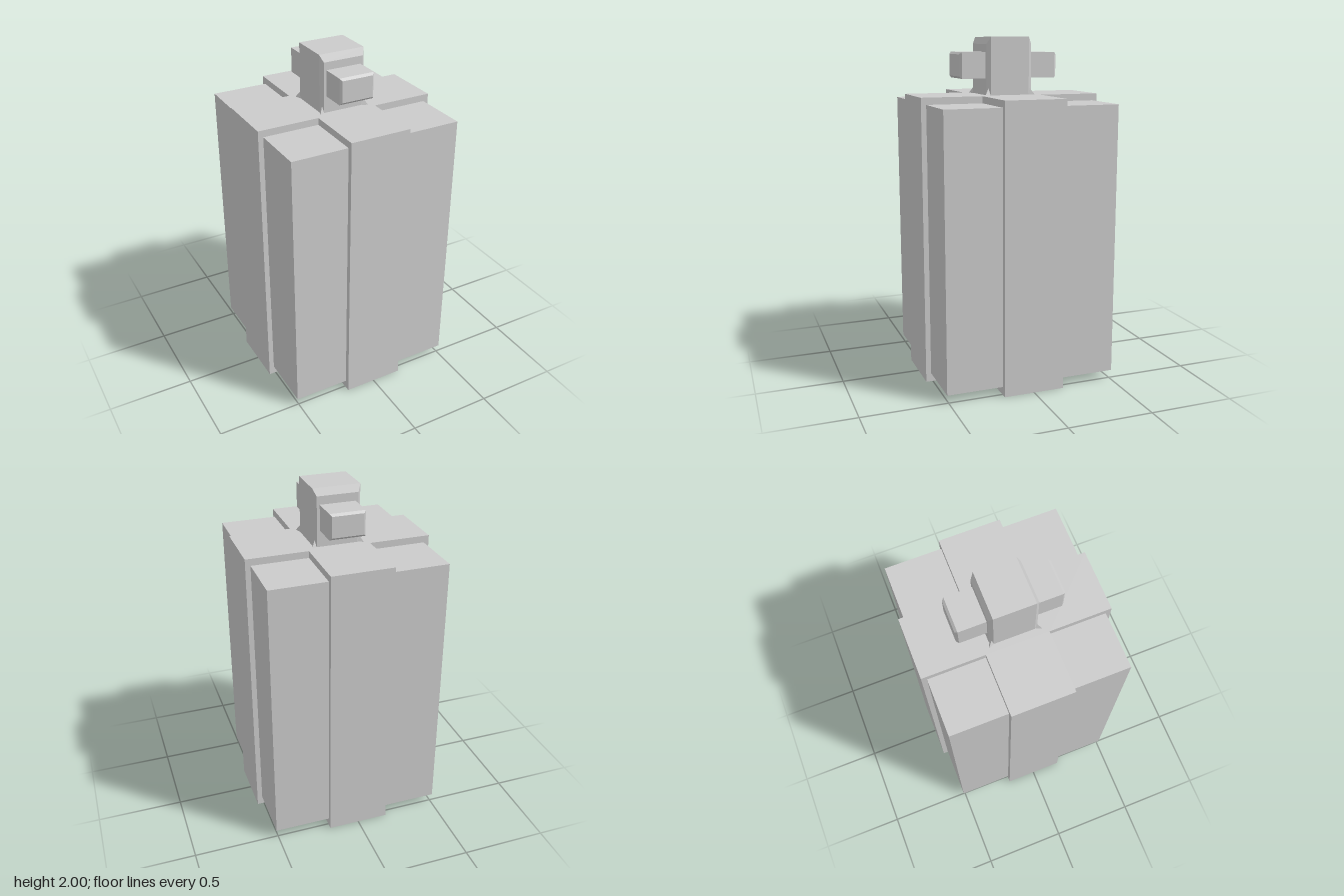
import * as THREE from 'three';
import { ConvexGeometry } from 'three/addons/geometries/ConvexGeometry.js';

const material = new THREE.MeshStandardMaterial({ color: 0xcccccc, flatShading: true });

function add(group, name, geometry, x = 0, y = 0, z = 0) {
  const mesh = new THREE.Mesh(geometry, material);
  mesh.name = name;
  mesh.position.set(x, y, z);
  group.add(mesh);
  return mesh;
}

// Block spanning y0..y1 and z0..z1 whose chosen z ends are bevelled inwards
function bevelledBlock(halfWidth, y0, y1, z0, z1, bevel, { front = true, back = true, insetX, top, bottom }) {
  const geometry = new THREE.BoxGeometry(2, 1, 3, 1, 1, 3);
  const p = geometry.attributes.position;
  const levels = [z0, back ? z0 + bevel : z0 + 0.02, front ? z1 - bevel : z1 - 0.02, z1];
  for (let i = 0; i < p.count; i++) {
    const k = Math.round(p.getZ(i) + 1.5);
    const inset = (k === 0 && back) || (k === 3 && front) ? 1 : 0;
    const x = Math.sign(p.getX(i)) * (halfWidth - inset * insetX);
    const y = p.getY(i) > 0 ? y1 - inset * top : y0 + inset * bottom;
    p.setXYZ(i, x, y, levels[k]);
  }
  geometry.computeVertexNormals();
  return geometry;
}

export function createModel() {
  const model = new THREE.Group();
  model.name = 'giftBox';

  // Box body
  add(model, 'box', new THREE.BoxGeometry(1.02, 1.58, 1.02), 0, 0.84, 0);

  // Crossed ribbon wrapped around the box, as one plus-shaped column
  const a = 0.18, b = 0.54;
  const cross = new THREE.Shape([
    [a, -b], [a, -a], [b, -a], [b, a], [a, a], [a, b],
    [-a, b], [-a, a], [-b, a], [-b, -a], [-a, -a], [-a, -b],
  ].map(([x, y]) => new THREE.Vector2(x, y)));
  const ribbon = new THREE.ExtrudeGeometry(cross, { depth: 1.67, bevelEnabled: false });
  ribbon.rotateX(-Math.PI / 2);
  add(model, 'ribbon', ribbon);

  // Bow: knot, two loops and the small flared corners at its foot
  const bow = new THREE.Group();
  bow.name = 'bow';
  model.add(bow);
  add(bow, 'knot', bevelledBlock(0.138, 1.66, 2, -0.14, 0.135, 0.021,
    { insetX: 0.018, top: 0.04, bottom: 0 }));

  const loopBevel = { insetX: 0.012, top: 0.013, bottom: 0.013 };
  add(bow, 'frontLoop', bevelledBlock(0.105, 1.765, 1.915, 0.12, 0.29, 0.013,
    { ...loopBevel, back: false }));
  add(bow, 'backLoop', bevelledBlock(0.103, 1.765, 1.912, -0.308, -0.12, 0.013,
    { ...loopBevel, front: false }));

  for (const sx of [-1, 1]) {
    for (const sz of [-1, 1]) {
      const corner = [
        [0.129, 1.71, 0.127], [0.12, 1.67, 0.137], [0.138, 1.67, 0.116], [0.152, 1.67, 0.152],
      ].map(([x, y, z]) => new THREE.Vector3(sx * x, y, sz * z));
      add(bow, 'knotCorner', new ConvexGeometry(corner));
    }
  }

  return model;
}
